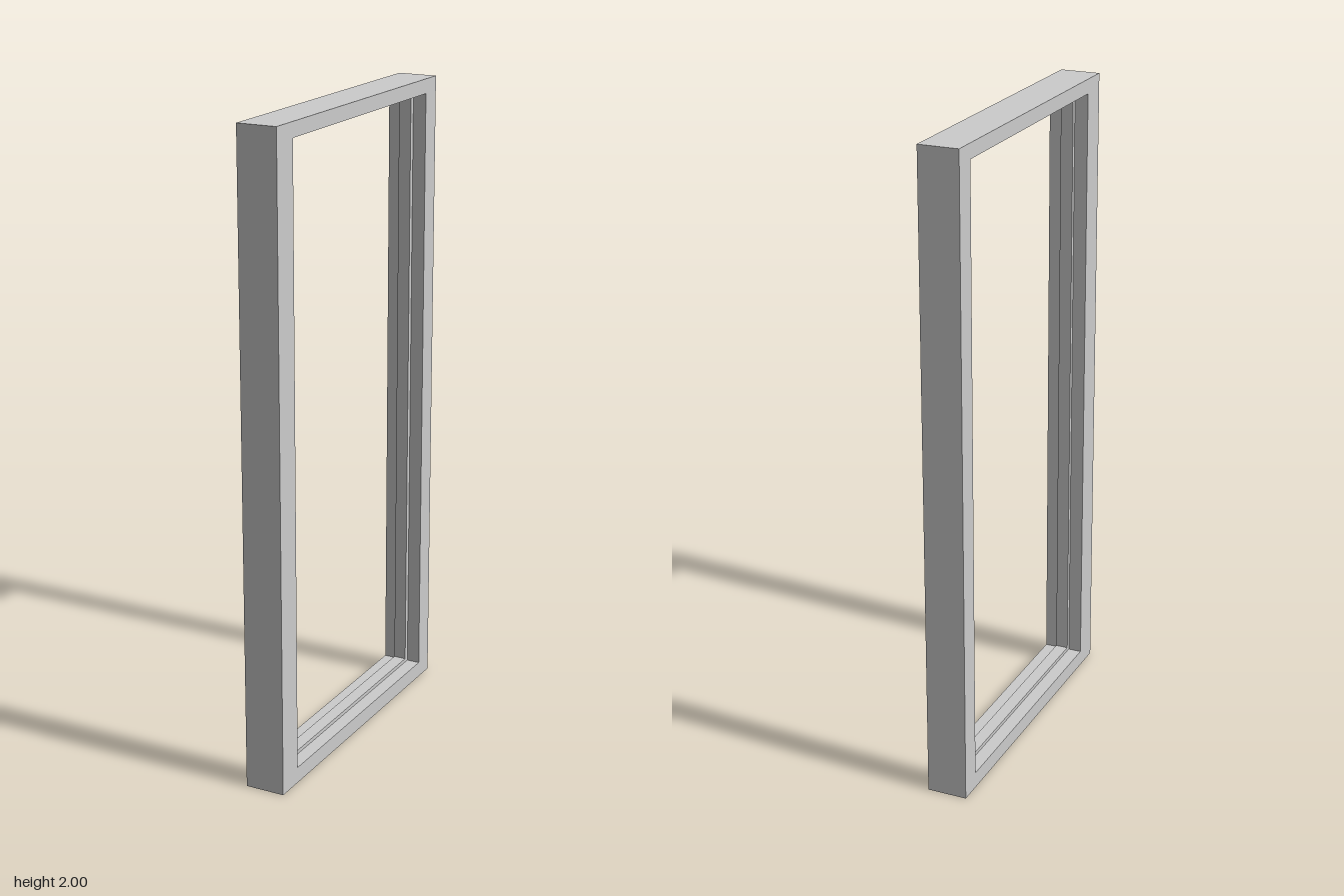
import * as THREE from 'three';

// Rectangles are [zMin, zMax, yMin, yMax]
const OUTER = [-0.5, 0.5, 0, 2];
const OPENING = [-0.43, 0.41, 0.05, 1.955];
const CLEAR = [-0.413, 0.396, 0.062, 1.945];

function trace(path, [z0, z1, y0, y1]) {
  path.moveTo(-z1, y0);
  path.lineTo(-z0, y0);
  path.lineTo(-z0, y1);
  path.lineTo(-z1, y1);
  path.closePath();
  return path;
}

// Rectangular ring in the z-y plane, with its thickness centred on x = 0
function ring(name, outer, inner, depth, material) {
  const shape = trace(new THREE.Shape(), outer);
  shape.holes.push(trace(new THREE.Path(), inner));
  const geometry = new THREE.ExtrudeGeometry(shape, { depth, bevelEnabled: false });
  geometry.translate(0, 0, -depth / 2);
  geometry.rotateY(Math.PI / 2);
  const mesh = new THREE.Mesh(geometry, material);
  mesh.name = name;
  return mesh;
}

export function createModel() {
  const group = new THREE.Group();
  group.name = 'openFrame';
  const material = new THREE.MeshStandardMaterial({ color: 0xcccccc });

  // Main jambs, head and sill
  group.add(ring('outerFrame', OUTER, OPENING, 0.125, material));
  // Raised stop running round the middle of the opening
  group.add(ring('innerStop', OPENING, CLEAR, 0.04, material));

  return group;
}
